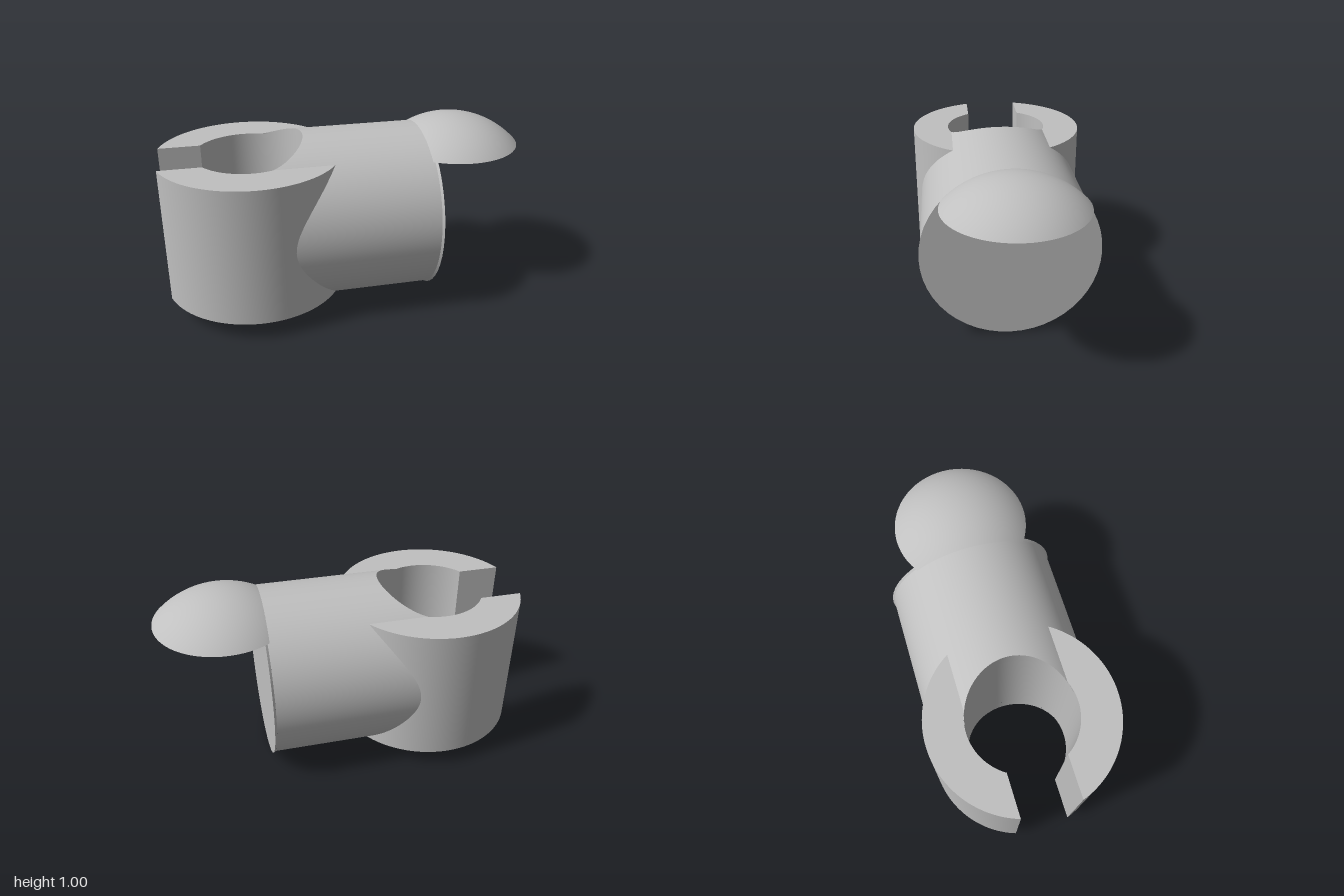
import * as THREE from 'three';
import { toCreasedNormals } from 'three/addons/utils/BufferGeometryUtils.js';
import { ParametricGeometry } from 'three/addons/geometries/ParametricGeometry.js';

const CLIP = { x: -0.525, outer: 0.505, inner: 0.295, bottom: 0.102, top: 0.866, halfGap: 0.158 };
const BARREL = { y: 0.483, radius: 0.472, end: 0.445, lip: 0.48 };
const DOME = { x: 0.63, base: 0.846, top: 1, radius: 0.367 };

export function createModel() {
  const group = new THREE.Group();
  const grey = new THREE.MeshStandardMaterial({ color: 0xc0c0c0 });
  grey.name = 'grey';

  const add = (name, geometry) => {
    const mesh = new THREE.Mesh(geometry, grey);
    mesh.name = name;
    group.add(mesh);
    return mesh;
  };

  // Upright C-shaped clip, open towards -x
  const a = Math.PI - Math.asin(CLIP.halfGap / CLIP.outer);
  const b = Math.PI - Math.asin(CLIP.halfGap / CLIP.inner);
  const outline = new THREE.Shape();
  outline.absarc(CLIP.x, 0, CLIP.outer, -a, a, false);
  outline.absarc(CLIP.x, 0, CLIP.inner, b, -b, true);
  const clip = new THREE.ExtrudeGeometry(outline, {
    depth: CLIP.top - CLIP.bottom, bevelEnabled: false, curveSegments: 64,
  });
  clip.rotateX(-Math.PI / 2);
  clip.translate(0, CLIP.bottom, 0);
  add('clipRing', toCreasedNormals(clip, 0.5));

  // The barrel stops where the bore of the clip cuts through it
  const boreX = (z) => CLIP.x + Math.sqrt(Math.max(0, CLIP.inner ** 2 - z * z));
  const lipStart = BARREL.end - 0.012;
  add('barrel', new ParametricGeometry((u, v, target) => {
    const t = v * Math.PI * 2;
    const z = -BARREL.radius * Math.sin(t);
    const x = THREE.MathUtils.lerp(boreX(z), lipStart, u);
    target.set(x, BARREL.y + BARREL.radius * Math.cos(t), z);
  }, 4, 128));

  // Bore walls where the barrel rises above and drops below the clip
  const halfWidth = Math.sqrt(BARREL.radius ** 2 - (CLIP.top - BARREL.y) ** 2);
  for (const side of [1, -1]) {
    add(side > 0 ? 'upperBoreWall' : 'lowerBoreWall', new ParametricGeometry((u, v, target) => {
      const z = halfWidth * (2 * u - 1);
      const rim = BARREL.y + side * Math.sqrt(BARREL.radius ** 2 - z * z);
      const low = side > 0 ? CLIP.top : rim;
      const high = side > 0 ? rim : CLIP.bottom;
      target.set(boreX(z), THREE.MathUtils.lerp(low, high, v), z);
    }, 32, 2));
  }

  // Slightly flared lip with the flat end face
  const lip = new THREE.CylinderGeometry(BARREL.lip, BARREL.radius, BARREL.end - lipStart, 48, 1);
  lip.rotateZ(-Math.PI / 2);
  add('barrelEnd', lip).position.set((BARREL.end + lipStart) / 2, BARREL.y, 0);

  // Spherical cap overhanging the barrel end, with a flat underside
  const h = DOME.top - DOME.base;
  const sphereRadius = (DOME.radius ** 2 + h * h) / (2 * h);
  const angle = Math.asin(DOME.radius / sphereRadius);
  add('dome', new THREE.SphereGeometry(sphereRadius, 64, 16, 0, Math.PI * 2, 0, angle))
    .position.set(DOME.x, DOME.top - sphereRadius, 0);
  const underside = new THREE.CircleGeometry(DOME.radius, 64);
  underside.rotateX(Math.PI / 2);
  add('domeUnderside', underside).position.set(DOME.x, DOME.base, 0);

  return group;
}
